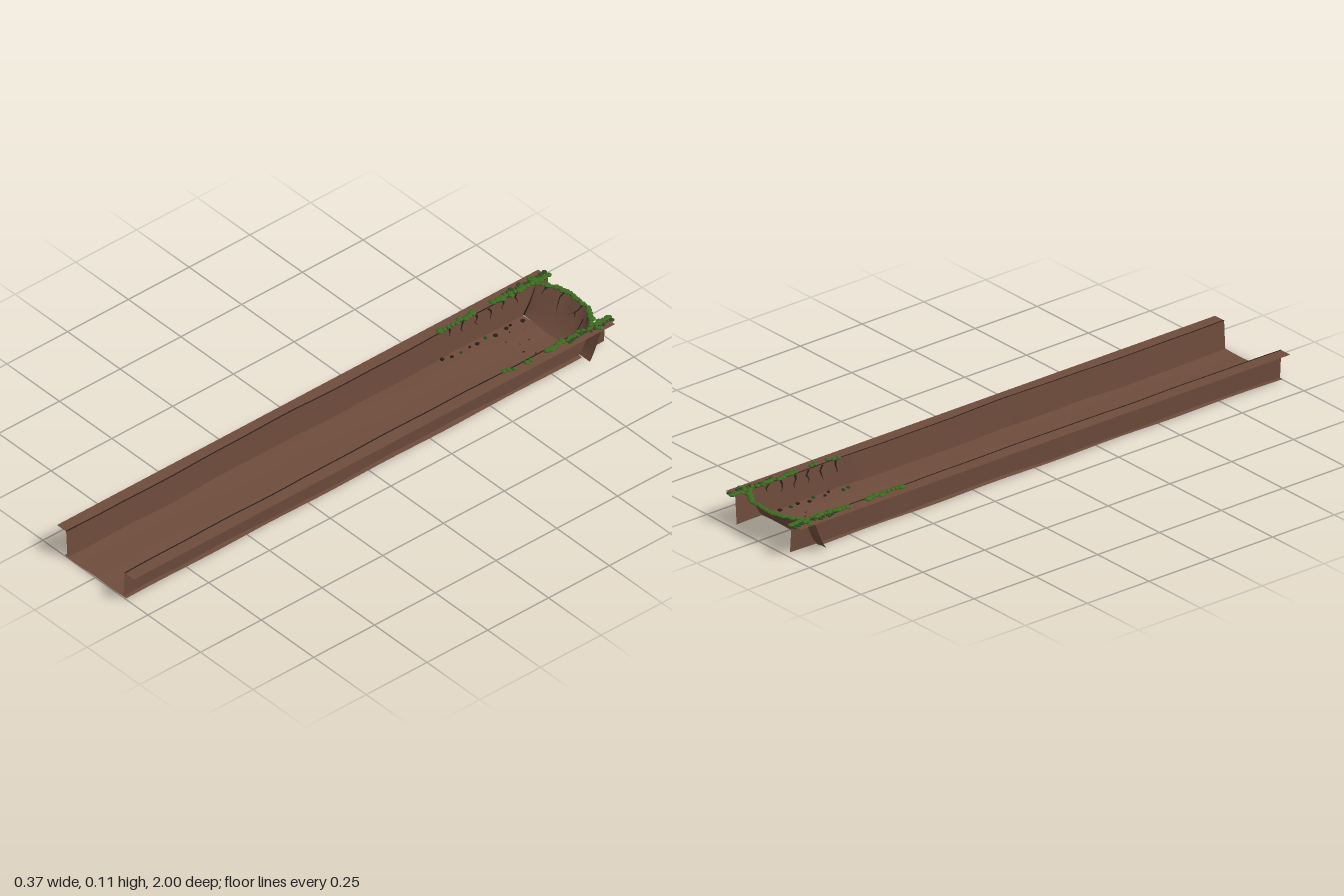
import * as THREE from 'three';

const lerp = THREE.MathUtils.lerp;

export function createModel() {
  const model = new THREE.Group();
  const earth = new THREE.MeshStandardMaterial({ name: 'brown earth', color: 0x6e4c3c, side: THREE.DoubleSide });
  const crackMat = new THREE.MeshStandardMaterial({ name: 'dark crack', color: 0x2a1e18, side: THREE.DoubleSide });
  const mossMat = new THREE.MeshStandardMaterial({ name: 'moss green', color: 0x3c6a20, flatShading: true });
  const mossDark = new THREE.MeshStandardMaterial({ name: 'deep moss green', color: 0x2c4a1c, flatShading: true });

  let seed = 7;
  const rand = (a, b) => {
    seed = (seed * 16807) % 2147483647;
    return a + (b - a) * (seed / 2147483647);
  };
  const add = (name, geometry, material) => {
    const mesh = new THREE.Mesh(geometry, material);
    mesh.name = name;
    model.add(mesh);
    return mesh;
  };

  // A sheet whose points follow a rule of u and v
  const sheet = (nu, nv, rule) => {
    const g = new THREE.PlaneGeometry(1, 1, nu, nv);
    const p = g.attributes.position;
    for (let i = 0; i < p.count; i++) p.setXYZ(i, ...rule(p.getX(i) + 0.5, p.getY(i) + 0.5));
    g.computeVertexNormals();
    return g;
  };

  const FRONT = 1, BACK = -0.98, FOOT = -0.87, TOP = 0.1, BASE = 0.005, OUT = 0.183;
  const wobble = z => 0.003 * Math.sin(z * 7) + 0.0015 * Math.sin(z * 19);
  const wallX = (z, y) => lerp(0.131, 0.138, y / TOP) + wobble(z) * (1 - 0.4 * y / TOP);
  const topY = z => TOP + 0.003 * Math.exp(-Math.pow((z - 0.1) / 0.2, 2));

  // Sunken floor with slightly uneven ground
  add('floor', sheet(10, 50, (u, v) => {
    const x = lerp(-0.147, 0.147, u), z = lerp(FOOT - 0.005, FRONT, v);
    return [x, 0.003 + 0.0015 * Math.sin(x * 40 + z * 2) + 0.0014 * Math.sin(z * 13 + x * 17), z];
  }), earth);

  // Side walls and the ledges along their tops
  for (const s of [1, -1]) {
    const side = s > 0 ? 'left' : 'right';
    add(side + 'Wall', sheet(60, 4, (u, v) => {
      const z = lerp(BACK, FRONT, u), y = lerp(BASE - 0.002, topY(z), v);
      return [s * wallX(z, y), y, z];
    }), earth);
    add(side + 'Ledge', sheet(60, 2, (u, v) => {
      const z = lerp(BACK, FRONT, u);
      return [s * lerp(wallX(z, TOP), OUT, v), lerp(topY(z), TOP, v), z];
    }), earth);
    // Dark lip where wall and ledge meet
    add(side + 'WallLip', sheet(60, 1, (u, v) => {
      const z = lerp(-0.9, FRONT, u);
      return [s * (wallX(z, TOP) + lerp(-0.002, 0.003, v)), topY(z) + 0.0008, z];
    }), crackMat);
  }

  // Hollowed end wall, leaning back and reaching past the side walls
  const endZ = (x, y) => {
    const t = Math.min(1, Math.abs(x) / 0.138);
    const top = lerp(-0.975, -0.922, Math.pow(t, 2.5));
    const v = THREE.MathUtils.clamp((y - BASE) / (TOP - BASE), 0, 1);
    return lerp(FOOT - 0.006 * t, top, Math.pow(v, 0.8)) + 0.003 * Math.sin(x * 70) * v * (1 - t);
  };
  add('endWall', sheet(28, 8, (u, v) => {
    const x = lerp(-OUT, OUT, u), y = lerp(BASE, TOP, v);
    return [x, y, endZ(x, y)];
  }), earth);

  // Tapering crack along a short path, laid on a surface by the place rule
  const crack = (name, path, width, place) => add(name, sheet(path.length - 1, 1, (u, v) => {
    const [a, y] = path[Math.round(u * (path.length - 1))];
    return place(a + (v - 0.5) * width * (1.1 - u), y);
  }), crackMat);
  const onEnd = (x, y) => [x, y, endZ(x, y) + 0.002];
  [
    [[-0.108, 0.1], [-0.104, 0.09], [-0.107, 0.082], [-0.108, 0.072]],
    [[-0.099, 0.098], [-0.103, 0.09], [-0.106, 0.084]],
    [[-0.045, 0.098], [-0.05, 0.083], [-0.043, 0.065], [-0.034, 0.047]],
    [[0.042, 0.098], [0.035, 0.08], [0.024, 0.068], [0.007, 0.058]],
    [[0.03, 0.075], [0.036, 0.068], [0.037, 0.062]],
    [[0.075, 0.075], [0.076, 0.05], [0.075, 0.025]],
    [[0.09, 0.092], [0.097, 0.08], [0.098, 0.07]],
    [[0.125, 0.095], [0.118, 0.08], [0.122, 0.065]],
  ].forEach(path => crack('endCrack', path, 0.005, onEnd));

  for (const s of [1, -1]) {
    // Cracks running down the side walls below the moss
    for (let z = -0.85; z < -0.52; z += 0.055) {
      const depth = rand(0.025, 0.055);
      const path = [0, 1, 2, 3].map(i => [z + rand(-0.008, 0.008), 0.098 - depth * i / 3]);
      crack('wallCrack', path, 0.009, (a, y) => [s * (wallX(a, y) - 0.0015), y, a]);
    }
    // Dark seams in the corners of the end wall
    crack('cornerSeam', [[0.1, 0.006], [0.1, 0.04], [0.1, 0.07], [0.1, 0.1]], 0.006,
      (a, y) => [s * (a + 0.03), y, endZ(0.131, y) + 0.002]);
  }

  // Moss cushions
  const cushion = new THREE.IcosahedronGeometry(1, 1);
  const clump = (name, x, y, z, r, h, material = mossMat) => {
    const m = add(name, cushion, material);
    m.position.set(x, y, z);
    m.scale.set(r * rand(0.8, 1.15), h, r * rand(0.8, 1.25));
    m.rotation.y = rand(0, 6);
  };
  for (const s of [1, -1]) {
    // Along the ledges, thinning toward the front
    for (let z = -0.985; z < -0.54; z += 0.017) {
      if (z > -0.75 && rand(0, 1) < 0.25) continue;
      clump('ledgeMoss', s * rand(0.139, 0.152), 0.102, z, rand(0.008, 0.014), rand(0.004, 0.006));
      if (z < -0.8) clump('ledgeMoss', s * rand(0.15, 0.163), 0.102, z, rand(0.006, 0.01), 0.004, mossDark);
    }
    for (let i = 0; i < 3; i++) clump('ledgeMoss', s * (0.16 + i * 0.006), 0.102, -0.925 - i * 0.004, 0.008, 0.004);
    // Small tufts and rubble at the foot of the walls
    for (let z = -0.85; z < -0.5; z += 0.035) {
      clump('floorTuft', s * rand(0.108, 0.127), 0.006, z + rand(-0.01, 0.01), rand(0.004, 0.008), 0.004,
        rand(0, 1) < 0.5 ? mossDark : crackMat);
    }
  }
  // Along the rim of the end wall
  for (let x = -0.13; x <= 0.131; x += 0.013) {
    clump('endMoss', x, 0.102, endZ(x, TOP) + rand(-0.004, 0.003), rand(0.008, 0.012), rand(0.004, 0.006));
  }
  // Pebbles on the floor before the end wall
  for (let i = 0; i < 8; i++) {
    clump('pebble', rand(-0.1, 0.1), 0.004, rand(-0.84, -0.74), rand(0.002, 0.004), 0.002, crackMat);
  }
  return model;
}
